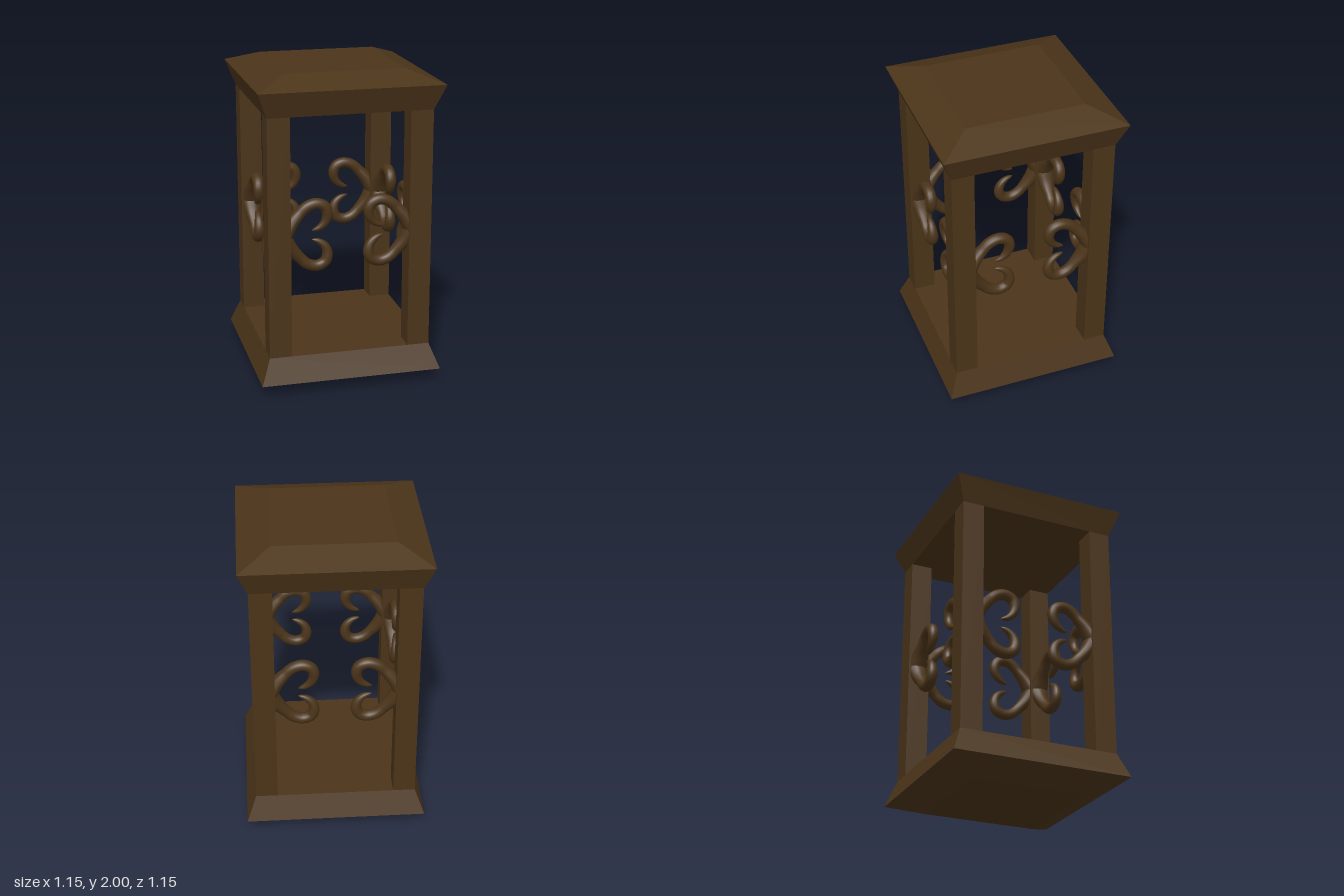
import * as THREE from 'three';

const wood = new THREE.MeshStandardMaterial({ color: 0x4b3419, flatShading: true });
const smoothWood = new THREE.MeshStandardMaterial({ color: 0x4b3419 });

// Square solid from [half width, height] pairs, bottom to top
function squareLathe(name, profile) {
  const points = profile.map(([half, y]) => new THREE.Vector2(half * Math.SQRT2, y));
  const mesh = new THREE.Mesh(new THREE.LatheGeometry(points, 4, Math.PI / 4), wood);
  mesh.name = name;
  return mesh;
}

// Tapering curl in the xy plane, broad and flat at the post, pointed at the tip
function curlGeometry() {
  const path = new THREE.CatmullRomCurve3([
    [-0.40, 0.015], [-0.36, 0.08], [-0.31, 0.137], [-0.26, 0.183], [-0.2, 0.2], [-0.148, 0.178],
    [-0.131, 0.13], [-0.145, 0.08], [-0.18, 0.046], [-0.228, 0.028],
  ].map(([x, y]) => new THREE.Vector3(x, y, 0)));
  const steps = 36, sides = 14, positions = [], index = [];
  for (let i = 0; i <= steps; i++) {
    const t = i / steps;
    const c = path.getPointAt(t), d = path.getTangentAt(t);
    const base = Math.max(0, 1 - t / 0.3);
    const tip = Math.sqrt(Math.min(1, (1.002 - t) / 0.3));
    const rIn = (0.035 + 0.015 * base) * tip;
    const rOut = (0.036 + 0.032 * base) * tip;
    for (let j = 0; j < sides; j++) {
      const a = (j / sides) * Math.PI * 2;
      const n = Math.cos(a) * rIn;
      positions.push(c.x - d.y * n, c.y + d.x * n, Math.sin(a) * rOut);
      if (i < steps) {
        const k = (j + 1) % sides, p = i * sides, q = p + sides;
        index.push(p + j, p + k, q + k, p + j, q + k, q + j);
      }
    }
  }
  const geometry = new THREE.BufferGeometry();
  geometry.setAttribute('position', new THREE.Float32BufferAttribute(positions, 3));
  geometry.setIndex(index);
  geometry.computeVertexNormals();
  return geometry;
}

export function createModel() {
  const model = new THREE.Group();
  model.name = 'lanternFrame';

  // Bevelled base and roof slabs
  model.add(squareLathe('base', [[0, 0], [0.375, 0], [0.577, 0.08], [0.516, 0.24], [0, 0.24]]));
  model.add(squareLathe('roof', [[0, 1.765], [0.516, 1.765], [0.577, 1.925], [0.375, 2], [0, 2]]));

  const postGeometry = new THREE.BoxGeometry(0.141, 1.53, 0.141);
  const curl = curlGeometry();

  // One side per quarter turn: a post and two facing heart-shaped scrolls
  for (let i = 0; i < 4; i++) {
    const side = new THREE.Group();
    side.name = `side${i + 1}`;
    side.rotation.y = i * Math.PI / 2;

    const post = new THREE.Mesh(postGeometry, wood);
    post.name = 'post';
    post.position.set(0.4455, 1.0025, 0.4455);
    side.add(post);

    for (const turn of [0, Math.PI]) {
      const scroll = new THREE.Group();
      scroll.name = 'heartScroll';
      scroll.position.set(0, 1.003, 0.4455);
      scroll.rotation.y = turn;
      for (const flip of [0, Math.PI]) {
        const arm = new THREE.Mesh(curl, smoothWood);
        arm.name = flip ? 'lowerCurl' : 'upperCurl';
        arm.rotation.x = flip;
        scroll.add(arm);
      }
      side.add(scroll);
    }
    model.add(side);
  }
  return model;
}
